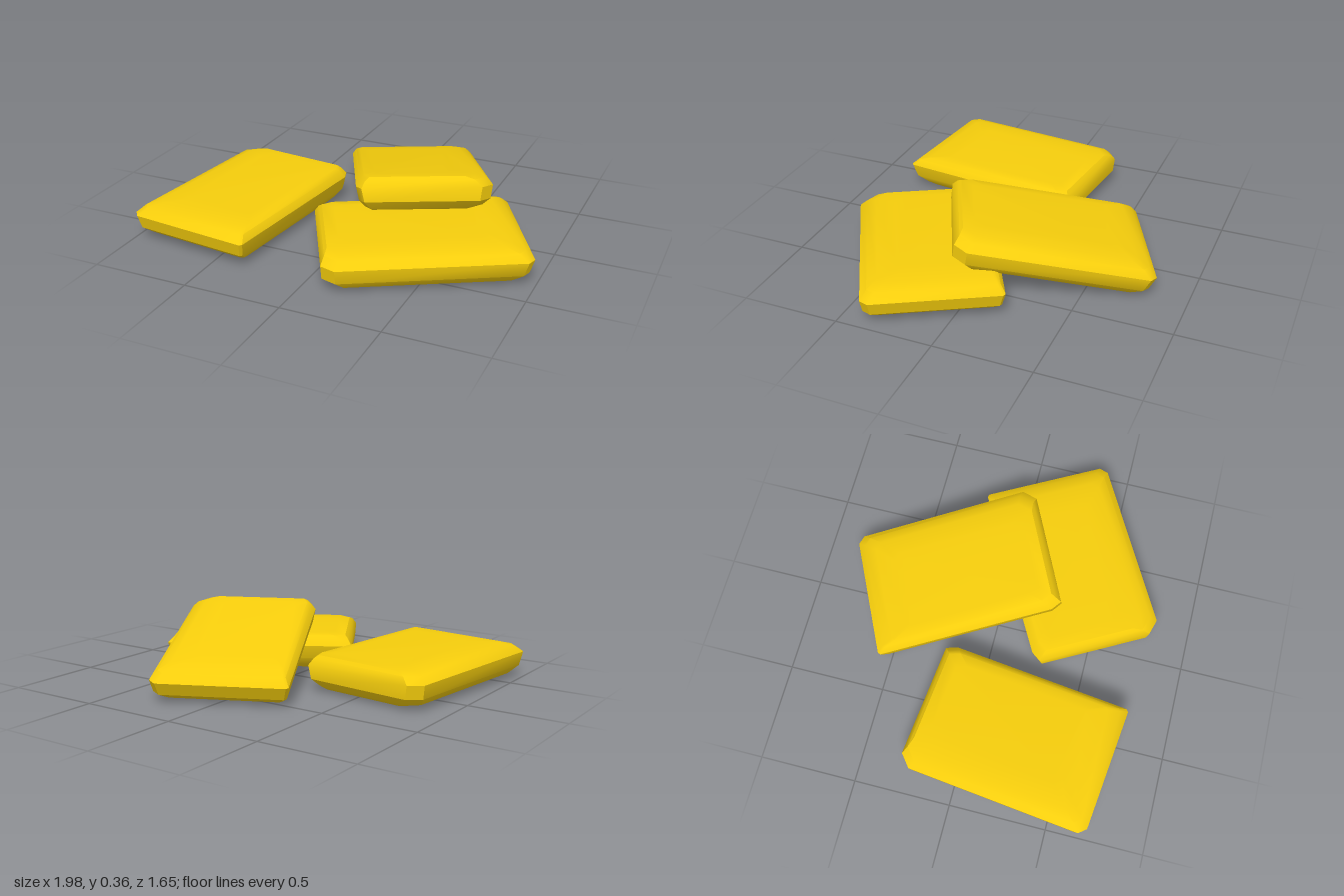
import * as THREE from 'three';
import { toCreasedNormals } from 'three/addons/utils/BufferGeometryUtils.js';

// Horizontal layers of one bar: [y, left, right, back, front]
const LAYERS = [
  [0.0, -0.24, 0.28, -0.42, 0.38],
  [0.02, -0.29, 0.3, -0.45, 0.43],
  [0.06, -0.325, 0.33, -0.49, 0.48],
  [0.13, -0.335, 0.345, -0.495, 0.5],
  [0.165, -0.3, 0.325, -0.475, 0.46],
  [0.181, -0.25, 0.305, -0.46, 0.4],
  [0.186, -0.15, 0.25, -0.4, 0.3],
];

// Eight-cornered outline of a layer, each corner cut by its own amount
function outline([y, l, r, b, f]) {
  return [
    [l, y, f - 0.035], [l + 0.035, y, f],
    [r - 0.012, y, f], [r, y, f - 0.012],
    [r, y, b + 0.055], [r - 0.025, y, b],
    [l + 0.06, y, b], [l, y, b + 0.06],
  ];
}

// Slab with worn, uneven bevels, centred on its own middle
function barGeometry() {
  const n = 8;
  const positions = LAYERS.flatMap(outline).flat();
  const index = [];
  for (let k = 0; k < LAYERS.length - 1; k++) {
    for (let i = 0; i < n; i++) {
      const a = k * n + i, b = k * n + (i + 1) % n;
      index.push(a, b, b + n, a, b + n, a + n);
    }
  }
  // Flat bottom and top
  const top = (LAYERS.length - 1) * n;
  for (let i = 1; i < n - 1; i++) {
    index.push(0, i + 1, i, top, top + i, top + i + 1);
  }
  const geometry = new THREE.BufferGeometry();
  geometry.setAttribute('position', new THREE.Float32BufferAttribute(positions, 3));
  geometry.setIndex(index);
  geometry.translate(0, -0.093, 0);
  return toCreasedNormals(geometry, 0.6);
}

export function createModel() {
  const group = new THREE.Group();
  group.name = 'goldBars';
  const gold = new THREE.MeshStandardMaterial({ color: 0xf5cd0c });
  const geometry = barGeometry();

  // Two bars lie flat, the third leans on one of them
  const bars = [
    { name: 'leftBar', at: [-0.61, 0.097, 0.235], yaw: -0.115, pitch: 0 },
    { name: 'rightBar', at: [0.405, 0.093, 0.31], yaw: 2.077, pitch: 0 },
    { name: 'leaningBar', at: [0.175, 0.175, -0.26], yaw: Math.PI + 0.45, pitch: 0.215 },
  ];
  for (const { name, at, yaw, pitch } of bars) {
    const bar = new THREE.Mesh(geometry, gold);
    bar.name = name;
    bar.position.set(...at);
    bar.rotation.set(pitch, yaw, 0, 'YXZ');
    group.add(bar);
  }
  return group;
}
